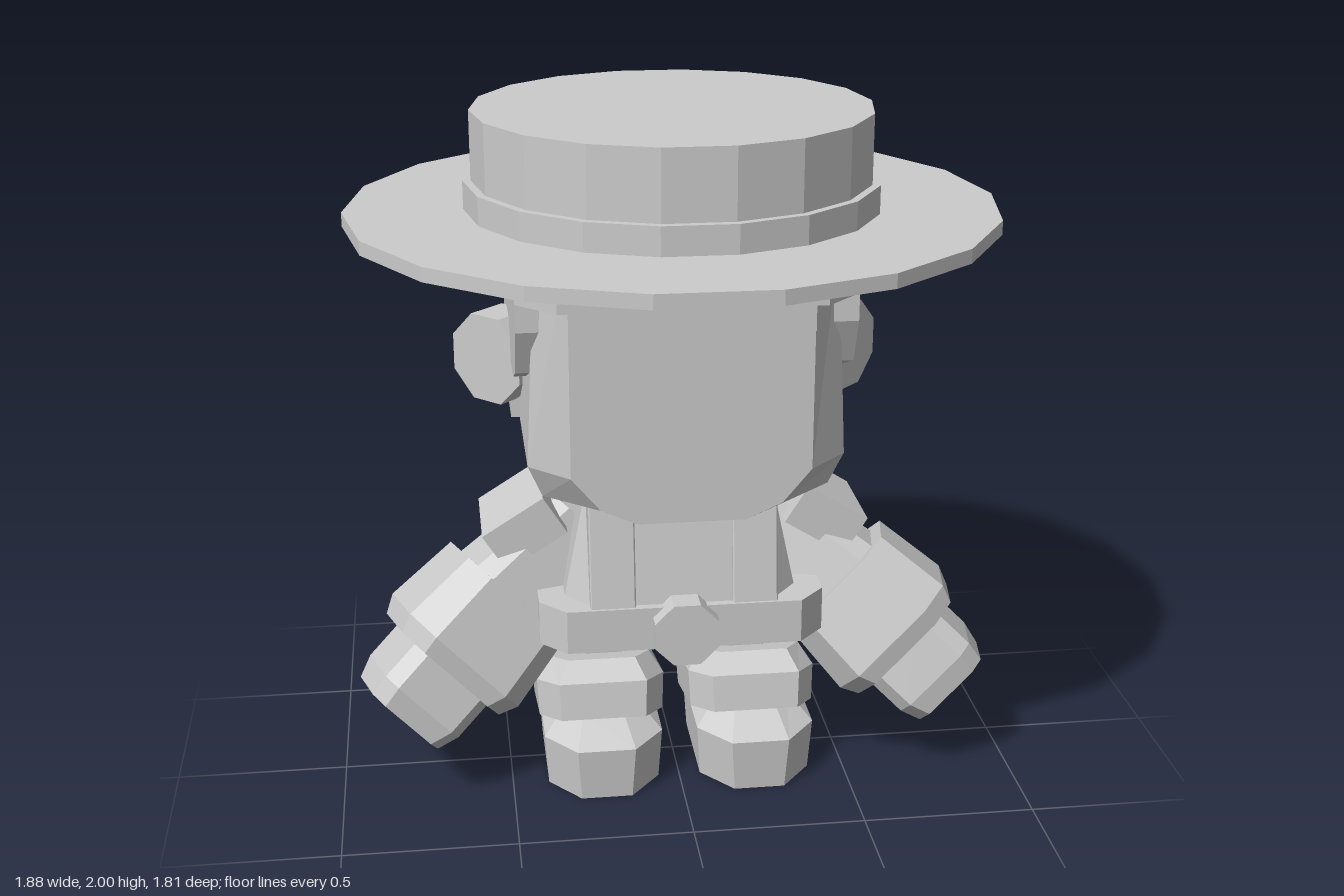
import * as THREE from 'three';

const grey = new THREE.MeshStandardMaterial({ color: 0xcccccc, flatShading: true });
grey.name = 'plain grey';

// Stack of chamfered rectangles, lowest first: [y, halfX, halfZ, chamferX, chamferZ, centreX, centreZ]
function loft(rings) {
  const loops = rings.map(([y, hx, hz, cx, cz = cx, x = 0, z = 0]) =>
    [[hx, hz - cz], [hx, cz - hz], [hx - cx, -hz], [cx - hx, -hz],
      [-hx, cz - hz], [-hx, hz - cz], [cx - hx, hz], [hx - cx, hz]].map(([a, b]) => [a + x, y, b + z]));
  const pos = [];
  const tri = (...p) => p.forEach((v) => pos.push(...v));
  for (let k = 0; k < loops.length - 1; k++) {
    const a = loops[k], b = loops[k + 1];
    for (let i = 0; i < 8; i++) {
      const j = (i + 1) % 8;
      tri(a[i], a[j], b[j]);
      tri(a[i], b[j], b[i]);
    }
  }
  const lo = loops[0], hi = loops[loops.length - 1];
  for (let i = 1; i < 7; i++) {
    tri(hi[0], hi[i], hi[i + 1]);
    tri(lo[0], lo[i + 1], lo[i]);
  }
  const g = new THREE.BufferGeometry();
  g.setAttribute('position', new THREE.Float32BufferAttribute(pos, 3));
  g.computeVertexNormals();
  return g;
}

// Mirror in x, keeping the faces turned outwards
function mirrored(geo) {
  const g = geo.index ? geo.toNonIndexed() : geo.clone();
  const p = g.attributes.position;
  const a = new THREE.Vector3(), b = new THREE.Vector3();
  for (let i = 0; i < p.count; i += 3) {
    a.fromBufferAttribute(p, i + 1);
    b.fromBufferAttribute(p, i + 2);
    p.setXYZ(i, -p.getX(i), p.getY(i), p.getZ(i));
    p.setXYZ(i + 1, -b.x, b.y, b.z);
    p.setXYZ(i + 2, -a.x, a.y, a.z);
  }
  g.computeVertexNormals();
  return g;
}

function extrude(points, depth) {
  const shape = new THREE.Shape(points.map(([x, y]) => new THREE.Vector2(x, y)));
  return new THREE.ExtrudeGeometry(shape, { depth, bevelEnabled: false });
}

// Upright slab from a plan of [x, z] points
const slab = (plan, y0, y1) =>
  extrude(plan.map(([x, z]) => [x, -z]), y1 - y0).rotateX(-Math.PI / 2).translate(0, y0, 0);

const disc = (r, y0, y1) =>
  new THREE.CylinderGeometry(r, r, y1 - y0, 18, 1, false, Math.PI / 18).translate(0, (y0 + y1) / 2, 0);

// Octagonal plate facing +z
const octagon = (r, depth) =>
  new THREE.CylinderGeometry(r, r, depth, 8, 1, false, Math.PI / 8).rotateX(Math.PI / 2);

export function createModel() {
  const model = new THREE.Group();
  model.name = 'figure';
  const add = (name, geo) => {
    const m = new THREE.Mesh(geo, grey);
    m.name = name;
    model.add(m);
  };
  const pair = (name, geo) => {
    add(name + 'Left', geo);
    add(name + 'Right', mirrored(geo));
  };

  // Hat
  add('hatBrim', disc(0.917, 1.685, 1.725));
  add('hatBand', disc(0.583, 1.72, 1.805));
  add('hatCrown', disc(0.56, 1.8, 2));

  // Head with tapered chin
  add('head', loft([
    [0.94, 0.25, 0.44, 0.1, 0.12],
    [0.985, 0.40, 0.44, 0.15, 0.13],
    [1.08, 0.44, 0.44, 0.11],
    [1.69, 0.41, 0.44, 0.08, 0.11],
  ]));

  // Hair: back, brow band, side panels and pointed fringe
  add('hairBack', slab([[0.465, -0.33], [0.465, -0.36], [0.355, -0.465], [-0.355, -0.465],
    [-0.465, -0.36], [-0.465, -0.33]], 1.083, 1.69));
  add('hairFront', slab([[0.465, 0.34], [0.465, 0.36], [0.36, 0.465], [-0.36, 0.465],
    [-0.465, 0.36], [-0.465, 0.34]], 1.55, 1.69));
  pair('hairSide', extrude([[0.355, 1.69], [0.355, 1.47], [0.3, 1.34], [0.16, 1.285],
    [-0.07, 1.285], [-0.07, 1.083], [-0.355, 1.083], [-0.355, 1.69]], 0.07)
    .rotateY(-Math.PI / 2).translate(0.465, 0, 0));
  const half = [[0.33, 1.475], [0.25, 1.44], [0.19, 1.46], [0.14, 1.55], [0.09, 1.465]];
  add('fringe', extrude([[-0.33, 1.57], ...half.map(([x, y]) => [-x, y]), [0, 1.415],
    ...half.slice().reverse(), [0.33, 1.57]], 0.02).translate(0, 0, 0.428));

  // Ears, angled outwards
  pair('ear', octagon(0.138, 0.13).rotateY(Math.PI / 4).translate(0.487, 1.267, -0.106));

  // Body, straps and belt
  add('torso', loft([
    [0.55, 0.35, 0.335, 0.08, 0.1, 0, -0.05],
    [0.96, 0.265, 0.27, 0.06, 0.08, 0, -0.04],
  ]));
  pair('frontStrap', loft([
    [0.55, 0.065, 0.06, 0.004, 0.004, 0.205, 0.24],
    [0.96, 0.065, 0.06, 0.004, 0.004, 0.205, 0.19],
  ]));
  pair('backStrap', loft([
    [0.55, 0.065, 0.08, 0.004, 0.004, 0.215, -0.36],
    [0.96, 0.05, 0.08, 0.004, 0.004, 0.175, -0.295],
  ]));
  add('belt', loft([0.49, 0.62].map((y) => [y, 0.413, 0.37, 0.075, 0.08, 0, -0.07])));
  add('buckle', octagon(0.1, 0.08).translate(0, 0.552, 0.31));

  // Shoulder pads
  pair('shoulderPad', new THREE.BoxGeometry(0.21, 0.13, 0.3).rotateZ(-0.56).translate(0.443, 0.785, -0.04));

  // Arms, built along an axis that slopes down, out and forward
  const axis = new THREE.Vector3(0.7, -0.66, 0.28).normalize();
  const deep = new THREE.Vector3(0, 0, 1).addScaledVector(axis, -axis.z).normalize();
  const wide = new THREE.Vector3().crossVectors(axis, deep);
  const armFrame = new THREE.Matrix4().makeBasis(wide, axis, deep).setPosition(0.595, 0.47, 0.045);
  const arm = (name, rings) => pair(name, loft(rings).applyMatrix4(armFrame));
  arm('upperArm', [[-0.44, 0.11, 0.13, 0.04], [0, 0.175, 0.17, 0.05]]);
  arm('sleeveCuff', [[-0.14, 0.195, 0.19, 0.07], [0.09, 0.218, 0.215, 0.08], [0.145, 0.195, 0.19, 0.07]]);
  arm('hand', [[0.08, 0.145, 0.165, 0.04], [0.27, 0.145, 0.165, 0.04], [0.335, 0.13, 0.14, 0.04]]);

  // Legs and boots
  pair('leg', loft([
    [0.2, 0.085, 0.14, 0.04, 0.05, 0.215, -0.11],
    [0.52, 0.11, 0.17, 0.05, 0.05, 0.215, -0.1],
  ]));
  pair('bootCuff', loft([
    [-0.09, 0.185, 0.255, 0.06, 0.1],
    [0.02, 0.19, 0.265, 0.06, 0.1],
    [0.085, 0.15, 0.23, 0.05, 0.09],
  ]).rotateX(-0.25).translate(0.228, 0.245, -0.07));
  pair('foot', loft([
    [0, 0.165, 0.265, 0.09, 0.11, 0.228, 0.01],
    [0.16, 0.175, 0.277, 0.09, 0.11, 0.228, 0.01],
    [0.225, 0.11, 0.2, 0.05, 0.07, 0.228, -0.03],
  ]));

  return model;
}
